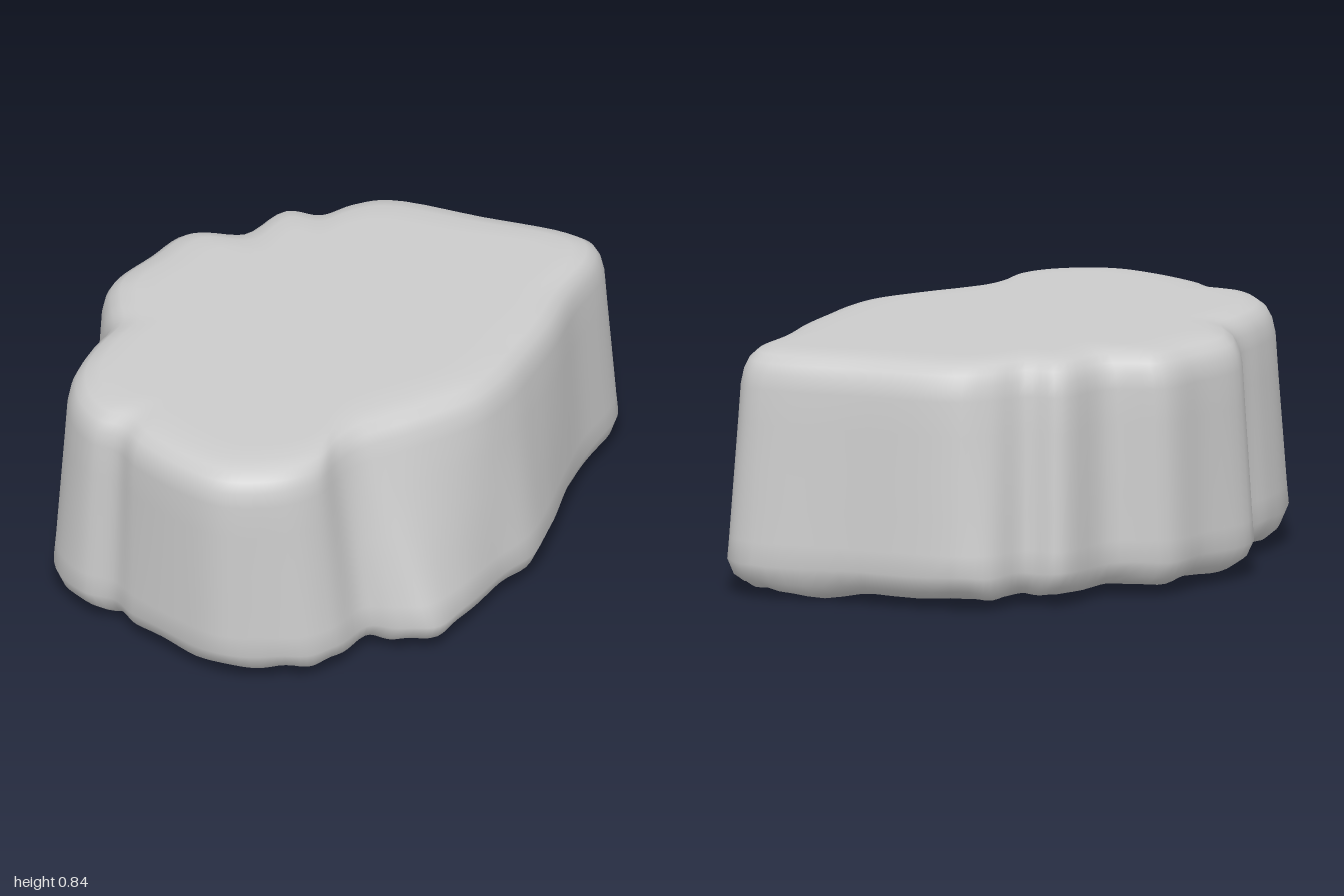
import * as THREE from 'three';

// Matching outline points around the rock: [footX, footZ, shoulderX, shoulderZ]
const OUTLINE = [
  [0.50, -1.00, 0.49, -0.94], [0.60, -0.97, 0.57, -0.92], [0.64, -0.90, 0.62, -0.84],
  [0.66, -0.65, 0.64, -0.62], [0.71, -0.43, 0.68, -0.42], [0.77, -0.22, 0.70, -0.22],
  [0.80, -0.05, 0.71, -0.05], [0.77, 0.13, 0.69, 0.11], [0.76, 0.36, 0.59, 0.31],
  [0.73, 0.50, 0.50, 0.45], [0.63, 0.56, 0.45, 0.54], [0.53, 0.61, 0.43, 0.63],
  [0.50, 0.76, 0.43, 0.75], [0.44, 0.86, 0.39, 0.84], [0.33, 0.93, 0.31, 0.92],
  [0.18, 1.00, 0.17, 0.99], [0.00, 0.98, 0.00, 0.98], [-0.20, 0.93, -0.20, 0.92],
  [-0.30, 0.89, -0.29, 0.87], [-0.42, 0.90, -0.40, 0.87], [-0.56, 0.82, -0.52, 0.79],
  [-0.64, 0.67, -0.60, 0.66], [-0.67, 0.50, -0.63, 0.50], [-0.67, 0.34, -0.64, 0.35],
  [-0.76, 0.23, -0.71, 0.24], [-0.81, 0.12, -0.77, 0.11], [-0.76, -0.10, -0.74, -0.10],
  [-0.72, -0.28, -0.70, -0.28], [-0.55, -0.40, -0.53, -0.38], [-0.50, -0.64, -0.47, -0.58],
  [-0.38, -0.67, -0.35, -0.62], [-0.32, -0.81, -0.28, -0.73], [-0.20, -0.88, -0.18, -0.82],
  [0.20, -0.94, 0.18, -0.89],
];

// Profile from underside centre to top centre: [height, foot-to-shoulder blend, inset]
const PROFILE = [
  [0.03, 0, 9], [0.03, 0, 0.4], [0.03, 0, 0.22], [0.032, 0, 0.12], [0.042, 0, 0.065],
  [0.07, 0, 0.025], [0.125, 0, 0], [0.2, 0.14, 0], [0.32, 0.33, 0], [0.45, 0.54, 0],
  [0.6, 0.78, 0], [0.72, 0.96, 0], [0.77, 1, 0.01], [0.805, 1, 0.03], [0.83, 1, 0.065],
  [0.842, 1, 0.12], [0.845, 1, 0.2], [0.845, 1, 0.4], [0.845, 1, 9],
];

const SEGMENTS = 170;

function closedCurve(ix, iz) {
  const points = OUTLINE.map((p) => new THREE.Vector3(p[ix], 0, p[iz]));
  return new THREE.CatmullRomCurve3(points, true, 'centripetal');
}

function rockGeometry() {
  const foot = closedCurve(0, 1);
  const shoulder = closedCurve(2, 3);
  const positions = [];
  const indices = [];

  PROFILE.forEach(([height, blend, inset], ring) => {
    for (let i = 0; i < SEGMENTS; i++) {
      const p = foot.getPoint(i / SEGMENTS).lerp(shoulder.getPoint(i / SEGMENTS), blend);
      p.multiplyScalar(Math.max(0, 1 - inset / p.length()));
      // Small lump under the back and a slightly uneven lower edge
      const under = Math.max(0, 1 - height / 0.2);
      const lump = 0.035 * Math.exp(-((p.x - 0.3) ** 2 + (p.z + 0.87) ** 2) / 0.015);
      const ripple = 0.008 * Math.sin(i * 0.9) * (inset < 0.1 ? 1 : 0);
      positions.push(p.x, Math.max(0, height - under * (lump + ripple)), p.z);

      if (ring < PROFILE.length - 1) {
        const next = (i + 1) % SEGMENTS;
        const a = ring * SEGMENTS + i;
        const b = ring * SEGMENTS + next;
        indices.push(a, a + SEGMENTS, b, a + SEGMENTS, b + SEGMENTS, b);
      }
    }
  });

  const geometry = new THREE.BufferGeometry();
  geometry.setAttribute('position', new THREE.Float32BufferAttribute(positions, 3));
  geometry.setIndex(indices);
  geometry.computeVertexNormals();
  // The merged centre points of both flat faces point straight down and up
  const normal = geometry.attributes.normal;
  for (let i = 0; i < SEGMENTS; i++) {
    normal.setXYZ(i, 0, -1, 0);
    normal.setXYZ(normal.count - 1 - i, 0, 1, 0);
  }
  return geometry;
}

export function createModel() {
  const group = new THREE.Group();
  group.name = 'flatRock';
  const rock = new THREE.Mesh(
    rockGeometry(),
    new THREE.MeshStandardMaterial({ color: 0xcccccc }),
  );
  rock.name = 'rockBody';
  group.add(rock);
  return group;
}
